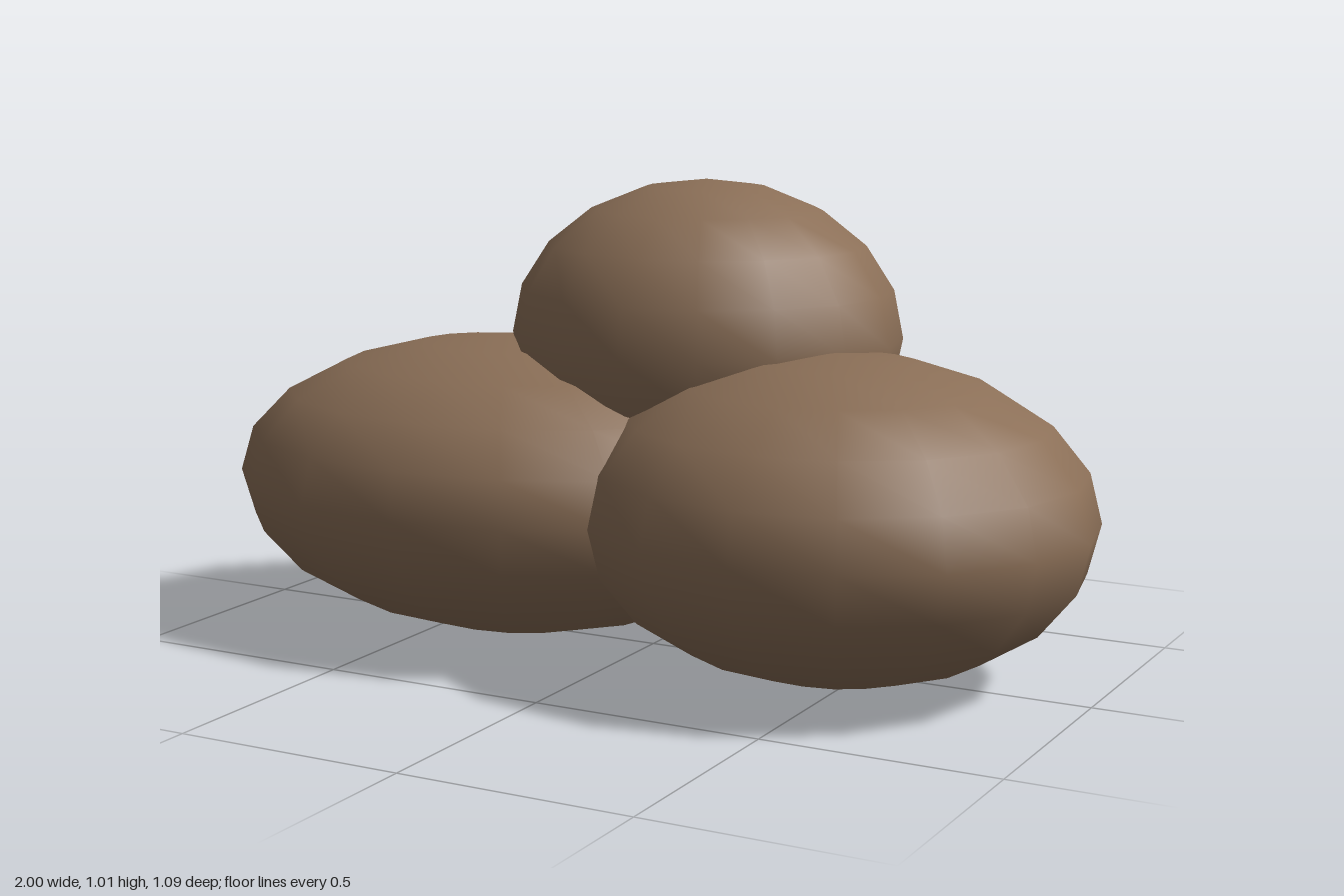
import * as THREE from 'three';

export function createModel() {
  const group = new THREE.Group();
  group.name = 'boulderPile';
  const material = new THREE.MeshStandardMaterial({ color: 0x8b6f57 });
  const sphere = new THREE.SphereGeometry(1, 16, 10);

  // A boulder is a smooth sphere squashed to its own radii
  function addBoulder(name, position, radii) {
    const boulder = new THREE.Mesh(sphere, material);
    boulder.name = name;
    boulder.position.set(...position);
    boulder.scale.set(...radii);
    group.add(boulder);
  }

  // Two broad boulders on the ground, one resting on top towards the back
  addBoulder('rightBoulder', [-0.35, 0.338, 0.032], [0.65, 0.325, 0.472]);
  addBoulder('leftBoulder', [0.45, 0.342, 0.035], [0.55, 0.342, 0.508]);
  addBoulder('topBoulder', [0.052, 0.671, -0.147], [0.435, 0.341, 0.398]);

  return group;
}
